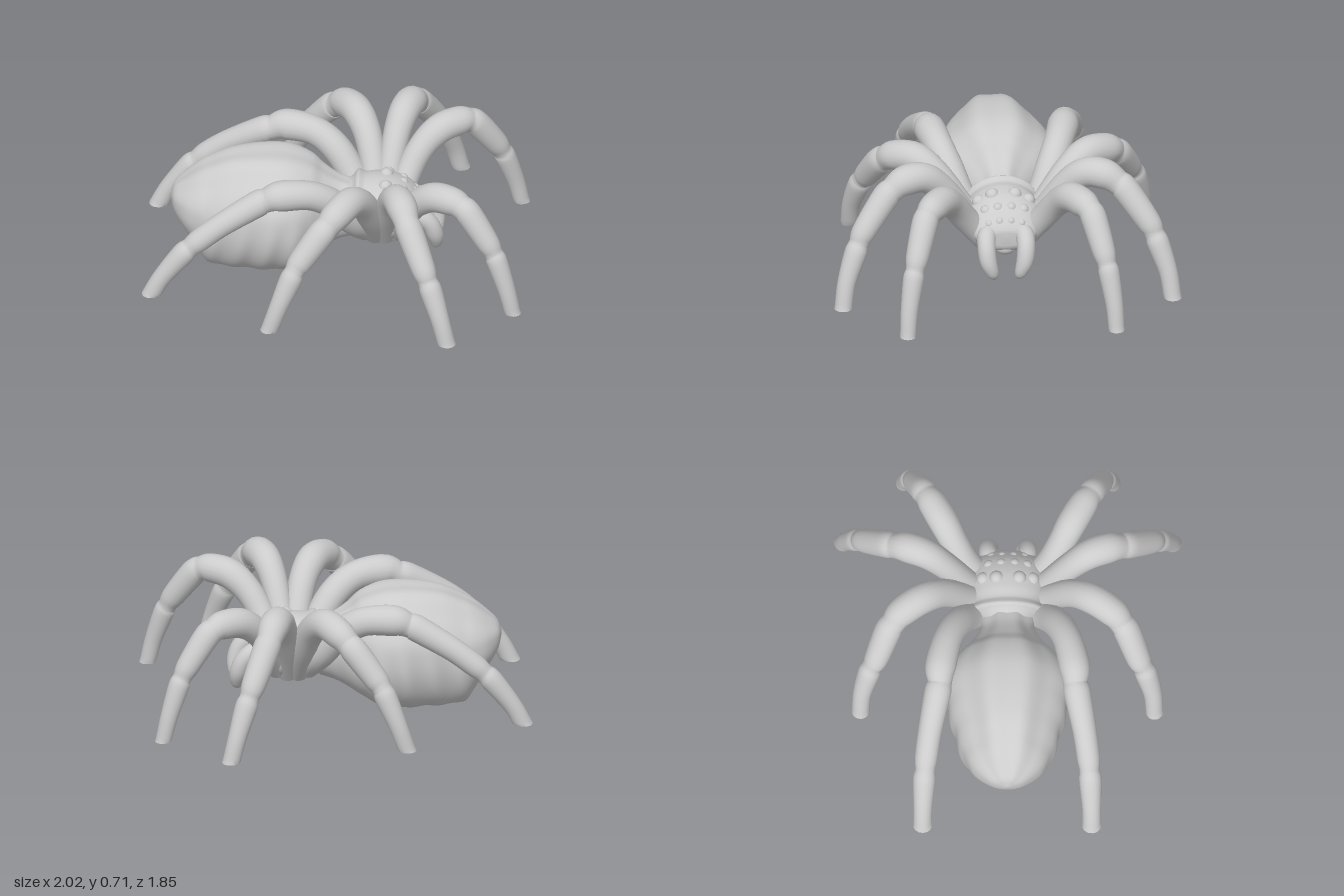
import * as THREE from 'three';
import { toCreasedNormals } from 'three/addons/utils/BufferGeometryUtils.js';

const material = new THREE.MeshStandardMaterial({ color: 0xcccccc });

// Smoothly interpolates rows of four numbers: the 4th follows the same parameter
function sampler(keys) {
  const a = new THREE.CatmullRomCurve3(keys.map(k => new THREE.Vector3(k[0], k[1], k[2])), false, 'catmullrom');
  const b = new THREE.CatmullRomCurve3(keys.map(k => new THREE.Vector3(k[3], 0, 0)), false, 'catmullrom');
  return { curve: a, at: t => [...a.getPoint(t).toArray(), b.getPoint(t).x] };
}

// Skins a list of rings and closes both ends; nothing goes below the ground
function loft(name, rings) {
  const n = rings[0].length, pos = [], idx = [];
  for (const ring of rings) for (const p of ring) pos.push(p.x, Math.max(0, p.y), p.z);
  for (let i = 0; i < rings.length - 1; i++) {
    for (let j = 0; j < n; j++) {
      const a = i * n + j, b = i * n + (j + 1) % n;
      idx.push(a, b, a + n, b, b + n, a + n);
    }
  }
  [0, rings.length - 1].forEach((r, end) => {
    const c = new THREE.Vector3();
    rings[r].forEach(p => c.addScaledVector(p, 1 / n));
    const ci = pos.length / 3;
    pos.push(c.x, Math.max(0, c.y), c.z);
    for (let j = 0; j < n; j++) {
      const a = r * n + j, b = r * n + (j + 1) % n;
      if (end) idx.push(a, b, ci); else idx.push(b, a, ci);
    }
  });
  const g = new THREE.BufferGeometry();
  g.setAttribute('position', new THREE.Float32BufferAttribute(pos, 3));
  g.setIndex(idx);
  const mesh = new THREE.Mesh(toCreasedNormals(g, 0.8), material);
  mesh.name = name;
  return mesh;
}

// Body section along x; keys are [x, top, bottom, halfWidth], swell adds relief
function body(name, keys, swell, steps = 110, sides = 80) {
  const s = sampler(keys), rings = [];
  for (let i = 0; i <= steps; i++) {
    const [x, top, bottom, w] = s.at(i / steps);
    const cy = (top + bottom) / 2, h = (top - bottom) / 2, ring = [];
    for (let j = 0; j < sides; j++) {
      const a = j / sides * Math.PI * 2;
      const f = 1 + swell(x, a > Math.PI ? 2 * Math.PI - a : a);
      ring.push(new THREE.Vector3(x, cy + h * f * Math.cos(a), w * f * Math.sin(a)));
    }
    rings.push(ring);
  }
  return loft(name, rings);
}

// Tapering limb; keys are [x, y, z, radius], side mirrors it across z
function limb(name, keys, side, steps = 72, sides = 18) {
  const s = sampler(keys.map(([x, y, z, r]) => [x, y, z * side, r]));
  const first = s.curve.getPoint(0), last = s.curve.getPoint(1), rings = [];
  const across = new THREE.Vector3(last.z - first.z, 0, first.x - last.x).normalize();
  for (let i = 0; i <= steps; i++) {
    const t = i / steps, [x, y, z, r] = s.at(t), tan = s.curve.getTangent(t);
    const u = across.clone().addScaledVector(tan, -across.dot(tan)).normalize();
    const v = tan.clone().cross(u), ring = [];
    for (let j = 0; j < sides; j++) {
      const a = j / sides * Math.PI * 2;
      ring.push(new THREE.Vector3(x, y, z)
        .addScaledVector(u, r * Math.cos(a)).addScaledVector(v, r * Math.sin(a)));
    }
    rings.push(ring);
  }
  return loft(name, rings);
}

const bump = (v, centre, width) => Math.exp(-(((v - centre) / width) ** 2));

// Legs: thick thigh, knee notch, shin, ankle notch with a swollen rim, flat foot
const legs = {
  rearLeg: [
    [0.17, 0.21, 0.09, 0.065], [0.1, 0.33, 0.2, 0.076], [0, 0.475, 0.27, 0.079], [-0.12, 0.555, 0.32, 0.078],
    [-0.27, 0.57, 0.355, 0.083], [-0.35, 0.545, 0.36, 0.066], [-0.4, 0.525, 0.37, 0.072], [-0.58, 0.42, 0.41, 0.064],
    [-0.7, 0.33, 0.43, 0.061], [-0.75, 0.285, 0.435, 0.053], [-0.79, 0.245, 0.44, 0.06],
    [-0.9, 0.1, 0.447, 0.05], [-0.962, -0.02, 0.448, 0.05]],
  midRearLeg: [
    [0.22, 0.19, 0.09, 0.065], [0.2, 0.36, 0.22, 0.07], [0.16, 0.52, 0.34, 0.075], [0.1, 0.6, 0.45, 0.082],
    [0.03, 0.585, 0.56, 0.08], [-0.015, 0.545, 0.605, 0.067], [-0.05, 0.51, 0.635, 0.073], [-0.155, 0.375, 0.695, 0.065],
    [-0.185, 0.33, 0.72, 0.053], [-0.205, 0.285, 0.735, 0.06],
    [-0.265, 0.14, 0.77, 0.05], [-0.32, -0.02, 0.78, 0.046]],
  midFrontLeg: [
    [0.27, 0.19, 0.09, 0.065], [0.28, 0.36, 0.21, 0.066], [0.31, 0.53, 0.33, 0.072], [0.345, 0.615, 0.43, 0.08],
    [0.38, 0.62, 0.53, 0.082], [0.405, 0.58, 0.6, 0.068], [0.425, 0.545, 0.64, 0.073], [0.5, 0.39, 0.755, 0.065],
    [0.525, 0.33, 0.785, 0.053], [0.545, 0.28, 0.805, 0.06],
    [0.595, 0.13, 0.855, 0.05], [0.633, -0.02, 0.877, 0.047]],
  frontLeg: [
    [0.32, 0.21, 0.09, 0.065], [0.38, 0.38, 0.21, 0.07], [0.45, 0.5, 0.28, 0.073], [0.54, 0.575, 0.34, 0.08],
    [0.64, 0.59, 0.4, 0.077], [0.69, 0.575, 0.43, 0.066], [0.73, 0.545, 0.45, 0.07], [0.83, 0.4, 0.495, 0.062],
    [0.863, 0.34, 0.51, 0.05], [0.882, 0.295, 0.52, 0.056],
    [0.935, 0.13, 0.545, 0.047], [0.97, -0.02, 0.555, 0.042]],
};

const fang = [[0.39, 0.31, 0.07, 0.05], [0.45, 0.31, 0.1, 0.05], [0.505, 0.265, 0.105, 0.048],
  [0.532, 0.2, 0.098, 0.046], [0.54, 0.145, 0.08, 0.037], [0.535, 0.11, 0.067, 0.025], [0.53, 0.09, 0.06, 0.006]];

// Eye rows sunk into the head: [x, y, z, radius]
const eyes = [[0.27, 0.455, 0.06, 0.038], [0.275, 0.42, 0.13, 0.037], [0.36, 0.425, 0.035, 0.028],
  [0.355, 0.408, 0.1, 0.03], [0.42, 0.377, 0.03, 0.024], [0.42, 0.363, 0.085, 0.024]];

export function createModel() {
  const model = new THREE.Group();
  model.name = 'spider';

  // Abdomen: flat where it rests, two dorsal ridges, wrinkled flanks
  model.add(body('abdomen', [
    [-0.872, 0.36, 0.32, 0.015], [-0.85, 0.41, 0.25, 0.09], [-0.79, 0.465, 0.15, 0.165], [-0.725, 0.515, 0.04, 0.215],
    [-0.66, 0.55, -0.045, 0.245], [-0.55, 0.595, -0.06, 0.28], [-0.4, 0.618, -0.06, 0.32], [-0.25, 0.615, -0.05, 0.33],
    [-0.13, 0.575, 0.02, 0.265], [-0.06, 0.52, 0.065, 0.2], [0.02, 0.47, 0.11, 0.148], [0.1, 0.44, 0.14, 0.145]],
  (x, a) => 0.045 * bump(a, 0.3, 0.18) - 0.025 * bump(a, 0.7, 0.18) + 0.02 * bump(a, 1.2, 0.2)
    + 0.03 * Math.sin(x * 42 + a * 2) * bump(a, 1.95, 0.6)));

  // Head and thorax: raised collar at the back, sloping brow, folded underside
  model.add(body('thorax', [
    [0.02, 0.42, 0.2, 0.1], [0.09, 0.46, 0.16, 0.15], [0.12, 0.49, 0.15, 0.2], [0.16, 0.475, 0.14, 0.195],
    [0.22, 0.48, 0.14, 0.205], [0.3, 0.47, 0.15, 0.21], [0.38, 0.435, 0.18, 0.19],
    [0.44, 0.38, 0.21, 0.155], [0.465, 0.345, 0.24, 0.115], [0.47, 0.32, 0.27, 0.03]],
  (x, a) => 0.06 * Math.sin(x * 85) * bump(a, 2.5, 0.7)));

  // Mouth between the fangs
  const mouth = new THREE.Mesh(new THREE.SphereGeometry(1, 24, 16), material);
  mouth.name = 'mouth';
  mouth.scale.set(0.06, 0.045, 0.06);
  mouth.position.set(0.4, 0.22, 0);
  model.add(mouth);

  // Paired parts on both sides
  for (const side of [1, -1]) {
    const label = side > 0 ? 'Left' : 'Right';
    for (const [name, keys] of Object.entries(legs)) model.add(limb(name + label, keys, side));
    model.add(limb('fang' + label, fang, side, 32));
    eyes.forEach(([x, y, z, r], i) => {
      const eye = new THREE.Mesh(new THREE.SphereGeometry(r, 16, 12), material);
      eye.name = `eye${label}${i + 1}`;
      eye.position.set(x, y, z * side);
      model.add(eye);
    });
  }
  return model;
}
